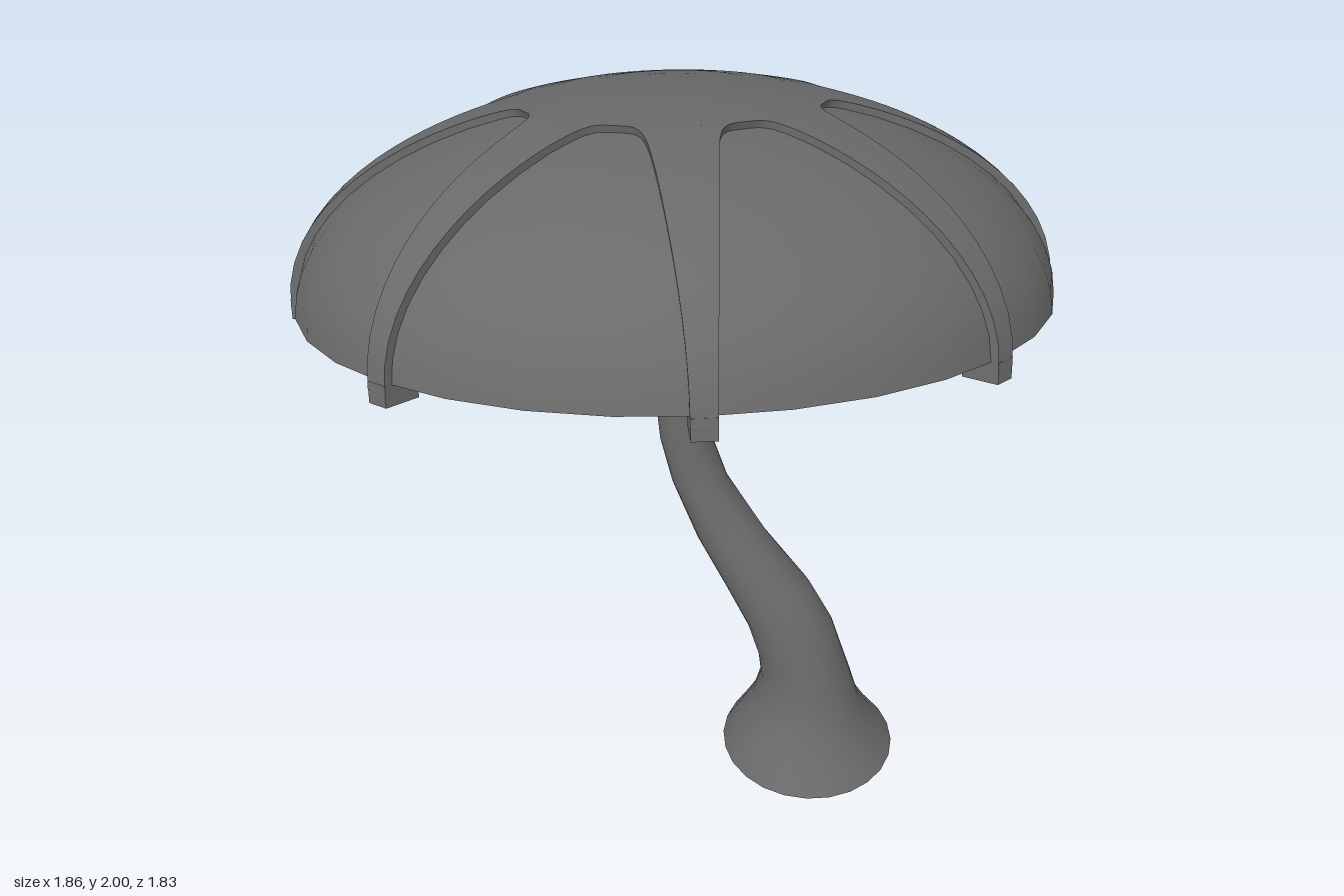
import * as THREE from 'three';
import { toCreasedNormals } from 'three/addons/utils/BufferGeometryUtils.js';

const material = new THREE.MeshStandardMaterial({ color: 0x6a6a6a, side: THREE.DoubleSide });
const RADIUS = 0.935, HEIGHT = 0.503, LIFT = 0.018, ARMS = 8;

function addMesh(parent, name, geometry, crease = 0.6) {
  const mesh = new THREE.Mesh(toCreasedNormals(geometry, crease), material);
  mesh.name = name;
  parent.add(mesh);
  return mesh;
}

// Joins a grid of points (rows of equal length) into a surface
function gridGeometry(rows) {
  const cols = rows[0].length, index = [];
  for (let i = 0; i < rows.length - 1; i++) {
    for (let j = 0; j < cols - 1; j++) {
      const a = i * cols + j, b = a + cols;
      index.push(a, a + 1, b, a + 1, b + 1, b);
    }
  }
  const geometry = new THREE.BufferGeometry().setFromPoints(rows.flat());
  geometry.setIndex(index);
  return geometry;
}

// Point on the cap's dome: phi from the pole, theta around, lift above the surface
function domePoint(phi, theta, lift) {
  const r = (RADIUS + lift) * Math.sin(phi);
  return new THREE.Vector3(r * Math.cos(theta), (HEIGHT + lift) * Math.cos(phi), r * Math.sin(theta));
}

// Bent stem: rings of height, centre x, half width in x and in z; flared open foot
function createStem() {
  const rings = [
    [0, 0.415, 0.247, 0.25], [0.08, 0.407, 0.197, 0.197], [0.16, 0.403, 0.154, 0.151],
    [0.25, 0.4, 0.13, 0.125], [0.33, 0.38, 0.121, 0.118], [0.43, 0.345, 0.122, 0.11],
    [0.55, 0.276, 0.121, 0.1], [0.7, 0.168, 0.1, 0.084], [0.87, 0.073, 0.076, 0.075],
    [1.0, 0.032, 0.069, 0.07], [1.15, 0.009, 0.061, 0.066], [1.3, 0, 0.055, 0.061],
    [1.48, -0.003, 0.053, 0.056], [1.48, -0.003, 0.001, 0.001],
  ];
  const rows = rings.map(([y, cx, rx, rz]) => {
    const row = [];
    for (let j = 0; j <= 24; j++) {
      const a = -(j / 24) * Math.PI * 2;
      row.push(new THREE.Vector3(cx + rx * Math.cos(a), y, rz * Math.sin(a)));
    }
    return row;
  });
  return gridGeometry(rows);
}

// One arm of the raised web: a slice of the crown narrowing to a strip at the rim
function createWebArm(angle) {
  const half = Math.PI / ARMS, tip = 0.41, end = Math.PI / 2 + 0.02;
  const rows = [];
  const addRow = (phi, panel, skirt) => {
    const w = half - panel, row = [domePoint(phi, angle - w, skirt)];
    for (let j = 0; j <= 6; j++) row.push(domePoint(phi, angle - w + (j / 3) * w, LIFT));
    row.push(domePoint(phi, angle + w, skirt));
    rows.push(row);
  };
  for (let i = 0; i < 4; i++) addRow((tip * i) / 4, 0, LIFT);
  for (let i = 0; i <= 26; i++) {
    const phi = tip + (end - tip) * Math.pow(i / 26, 2.6);
    const r = Math.min(1, Math.sin(phi));
    const s = Math.max(0, (r - Math.sin(tip)) / (1 - Math.sin(tip)));
    addRow(phi, (half - 0.03) * Math.pow(s, 0.25), -0.004);
  }
  return gridGeometry(rows);
}

// Pleated underside: radial folds that deepen towards the rim
function createGills() {
  const folds = 32, rows = [];
  for (const t of [1, 0.65, 0.3, 0]) {
    const row = [];
    for (let j = 0; j <= folds * 2; j++) {
      const a = (j / (folds * 2)) * Math.PI * 2;
      const r = t * 0.912;
      const y = 0.01 + 0.07 * (1 - t) + (j % 2 ? 0 : 0.05) * Math.pow(t, 0.8);
      row.push(new THREE.Vector3(r * Math.cos(a), y, -r * Math.sin(a)));
    }
    rows.push(row);
  }
  return gridGeometry(rows);
}

export function createModel() {
  const model = new THREE.Group();
  model.name = 'mushroom';
  addMesh(model, 'stem', createStem(), 0.9);

  // The whole cap leans back and to one side
  const cap = new THREE.Group();
  cap.name = 'cap';
  cap.position.set(0, 1.45, 0);
  cap.quaternion.setFromUnitVectors(
    new THREE.Vector3(0, 1, 0), new THREE.Vector3(-0.095, 1, -0.222).normalize());
  model.add(cap);

  // Dome with a thin rim turned inwards
  const profile = [new THREE.Vector2(0.905, 0.008)];
  for (let i = 0; i <= 14; i++) {
    const a = 0.015 + (i / 14) * (Math.PI / 2 - 0.015);
    profile.push(new THREE.Vector2(RADIUS * Math.cos(a), HEIGHT * Math.sin(a)));
  }
  addMesh(cap, 'dome', new THREE.LatheGeometry(profile, 32), 1);
  addMesh(cap, 'gills', createGills(), 0.1);

  // Raised web and the clips where its strips fold under the rim
  for (let k = 0; k < ARMS; k++) {
    const angle = ((k + 0.5) / ARMS) * Math.PI * 2;
    addMesh(cap, 'webArm', createWebArm(angle));
    const clip = addMesh(cap, 'rimClip', new THREE.BoxGeometry(0.09, 0.05, 0.056));
    clip.position.set(0.907 * Math.cos(angle), -0.015, 0.907 * Math.sin(angle));
    clip.rotation.y = -angle;
  }
  return model;
}
